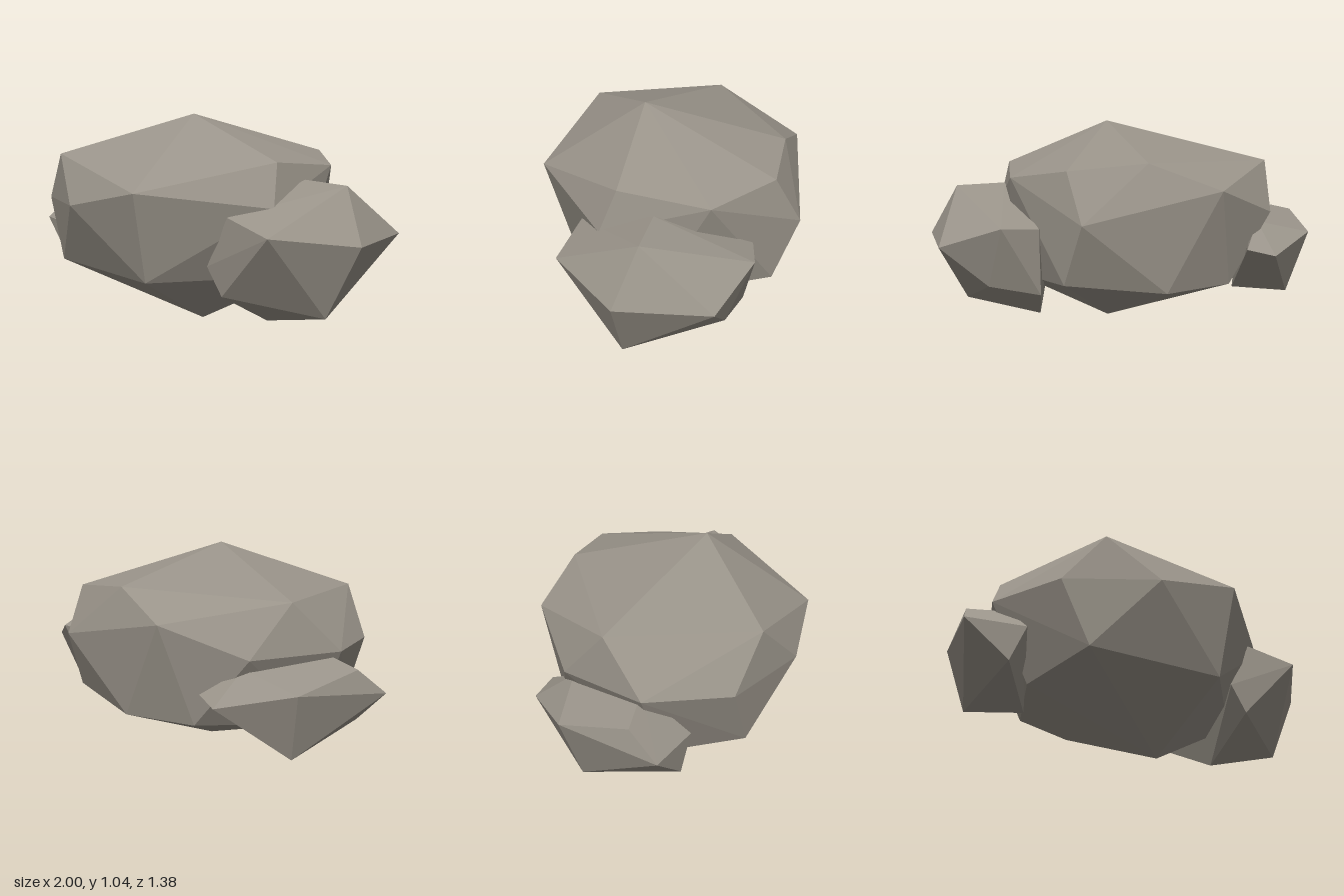
import * as THREE from 'three';
import { ConvexGeometry } from 'three/addons/geometries/ConvexGeometry.js';

const stone = new THREE.MeshStandardMaterial({ color: 0x999389, flatShading: true });
stone.name = 'warm grey stone';

// A faceted boulder is the hull around its corner points
function boulder(name, corners) {
  const points = corners.map(([x, y, z]) => new THREE.Vector3(x, y, z));
  const mesh = new THREE.Mesh(new ConvexGeometry(points), stone);
  mesh.name = name;
  return mesh;
}

export function createModel() {
  const group = new THREE.Group();
  group.name = 'rockCluster';

  group.add(boulder('largeBoulder', [
    // crown
    [0.01, 1.04, 0.18], [-0.64, 0.84, 0.34], [-0.62, 0.84, -0.36],
    [0.2, 0.87, -0.48], [0.54, 0.84, -0.33], [0.66, 0.79, 0], [0.48, 0.83, 0.39],
    // girdle
    [-0.1, 0.7, 0.69], [-0.49, 0.61, 0.54], [-0.78, 0.6, 0.2], [-0.8, 0.61, -0.21],
    [-0.5, 0.6, -0.54], [-0.1, 0.74, -0.65], [0.54, 0.61, -0.46], [0.49, 0.63, 0.48],
    // underside
    [-0.09, 0.27, 0.58], [-0.67, 0.29, 0.28], [-0.64, 0.22, -0.11], [-0.23, 0.27, -0.55],
    [0.14, 0.27, -0.55], [0.56, 0.32, -0.33], [0.55, 0.28, 0.25], [0.04, 0, 0.13],
  ]));

  group.add(boulder('leftBoulder', [
    // top
    [0.79, 0.73, 0.34], [0.58, 0.74, 0.24], [0.29, 0.59, 0.54],
    [0.79, 0.58, -0.17], [0.62, 0.57, -0.21],
    // sides
    [1, 0.48, 0.06], [0.88, 0.48, 0.48], [0.51, 0.53, 0.68], [0.18, 0.35, 0.49],
    // underside
    [0.26, 0.22, 0.52], [0.4, 0.04, 0.22], [0.72, 0.13, 0.42],
    [0.8, 0.29, -0.04], [0.6, 0.25, -0.18],
  ]));

  group.add(boulder('rightBoulder', [
    // top
    [-0.9, 0.55, -0.27], [-0.7, 0.6, -0.2], [-0.45, 0.55, -0.5],
    // sides
    [-1, 0.43, -0.16], [-0.74, 0.48, -0.57], [-0.4, 0.41, -0.69],
    [-0.29, 0.44, -0.61], [-0.78, 0.42, 0.01],
    // underside
    [-0.83, 0.25, -0.04], [-0.68, 0.16, -0.48], [-0.5, 0.16, -0.26],
  ]));

  return group;
}
